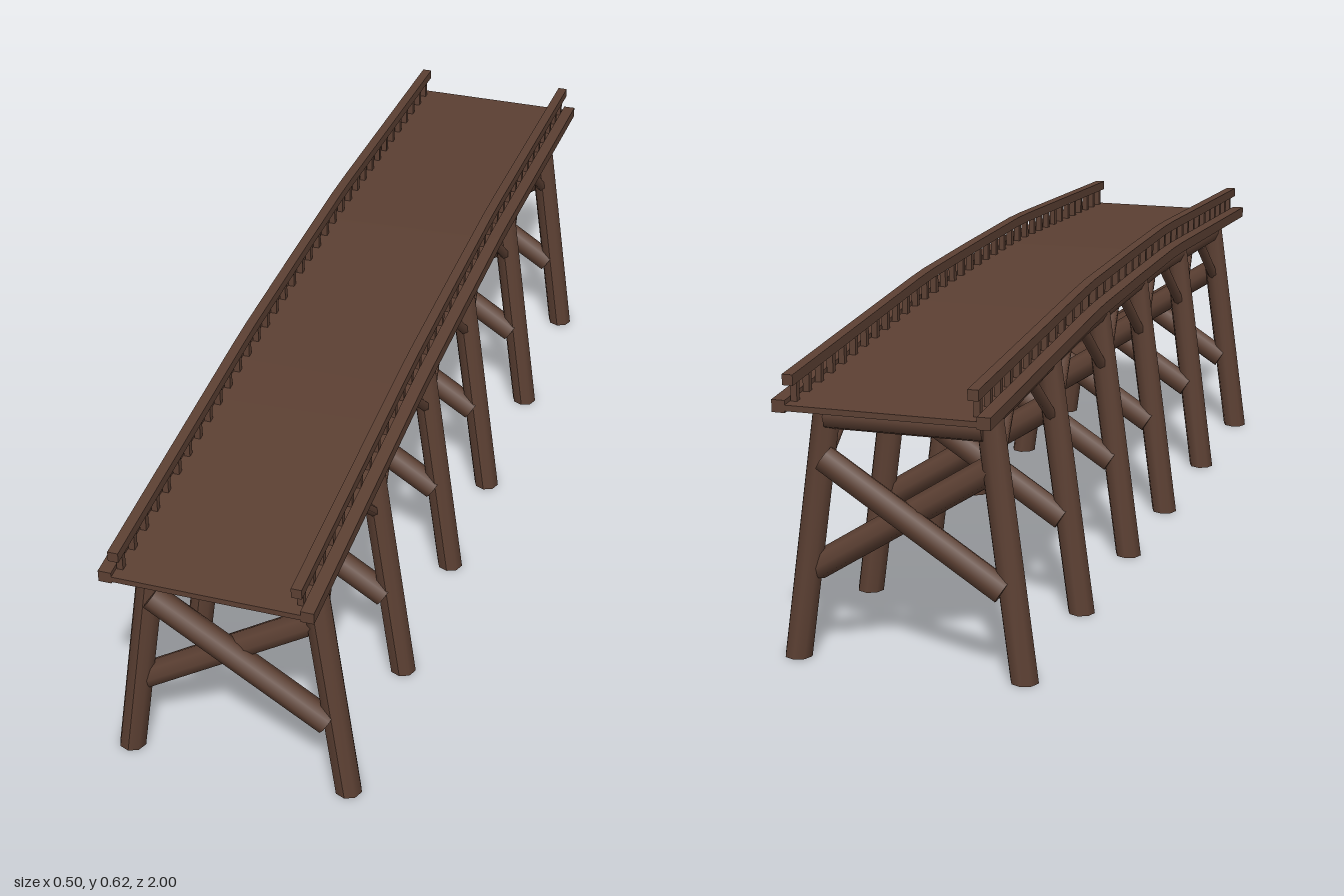
import * as THREE from 'three';

const wood = new THREE.MeshStandardMaterial({ color: 0x5c4033 });
wood.name = 'dark brown wood';

// Deck height along the bridge: sloping ends and a level middle
const PROFILE = [[0, 0.562], [0.28, 0.561], [0.36, 0.558], [0.45, 0.553], [1, 0.522]];
function deckY(z) {
  const a = Math.min(Math.abs(z), 1);
  let i = 1;
  while (i < PROFILE.length - 1 && a > PROFILE[i][0]) i++;
  const [z0, y0] = PROFILE[i - 1], [z1, y1] = PROFILE[i];
  return y0 + (y1 - y0) * (a - z0) / (z1 - z0);
}

function add(parent, name, geometry) {
  const mesh = new THREE.Mesh(geometry, wood);
  mesh.name = name;
  parent.add(mesh);
  return mesh;
}

// Moves a geometry that runs along z up to follow the deck
function followDeck(geometry) {
  const p = geometry.attributes.position;
  for (let i = 0; i < p.count; i++) p.setY(i, p.getY(i) + deckY(p.getZ(i)));
  geometry.computeVertexNormals();
  return geometry;
}

// Rectangular strip along the deck, with y measured from the deck surface
function strip(width, height, x, y) {
  return followDeck(new THREE.BoxGeometry(width, height, 2, 1, 1, 50).translate(x, y, 0));
}

// Round log between two points
function log(parent, name, from, to, r0, r1 = r0, sides = 8) {
  const a = new THREE.Vector3(...from), b = new THREE.Vector3(...to);
  const dir = b.clone().sub(a);
  const mesh = add(parent, name, new THREE.CylinderGeometry(r1, r0, dir.length(), sides));
  mesh.position.copy(a).add(b).multiplyScalar(0.5);
  mesh.quaternion.setFromUnitVectors(new THREE.Vector3(0, 1, 0), dir.normalize());
  return mesh;
}

// Splayed leg with level ends
function leg(parent, s, z, topY) {
  const geo = new THREE.CylinderGeometry(0.027, 0.027, topY, 8).translate(0, topY / 2, 0);
  const p = geo.attributes.position;
  const lean = Math.abs(z) > 0.8 ? -0.02 * Math.sign(z) : 0;
  for (let i = 0; i < p.count; i++) {
    const y = p.getY(i);
    p.setX(i, p.getX(i) + s * (0.221 - 0.136 * y));
    p.setZ(i, p.getZ(i) + z + lean * y);
  }
  geo.computeVertexNormals();
  add(parent, 'leg', geo);
}

function trestle(z) {
  const g = new THREE.Group();
  g.name = 'trestle';
  const rise = deckY(z) - deckY(0.875);
  for (const s of [-1, 1]) {
    leg(g, s, z, deckY(z) - 0.012);
    // Diagonal cross braces
    log(g, 'crossBrace', [-0.155 * s, 0.393 + rise, z + 0.012 * s],
      [0.185 * s, 0.174 + rise, z + 0.012 * s], 0.026);
    // Knee braces from the legs up to the side beams
    for (const d of [-1, 1]) {
      if (Math.abs(z) > 0.8 && d === Math.sign(z)) continue;
      log(g, 'kneeBrace', [0.165 * s, 0.375 + rise, z + 0.012 * d],
        [0.153 * s, 0.478 + rise, z + 0.12 * d], 0.011, 0.011, 6);
    }
  }
  log(g, 'crossBeam', [-0.15, 0.475 + rise, z], [0.15, 0.475 + rise, z], 0.029);
  return g;
}

export function createModel() {
  const bridge = new THREE.Group();
  bridge.name = 'woodenBridge';

  add(bridge, 'deck', strip(0.38, 0.011, 0, -0.0055));

  for (const z of [-0.872, -0.505, -0.153, 0.153, 0.508, 0.872]) bridge.add(trestle(z));

  for (const s of [-1, 1]) {
    const side = new THREE.Group();
    side.name = s > 0 ? 'leftSide' : 'rightSide';
    bridge.add(side);

    // Round beam carrying the deck
    const beam = new THREE.CylinderGeometry(0.026, 0.026, 1.75, 8, 50);
    beam.rotateX(Math.PI / 2).translate(s * 0.15, -0.037, 0);
    add(side, 'sideBeam', followDeck(beam));

    // Edge beam and handrail
    add(side, 'edgeBeam', strip(0.025, 0.023, s * 0.19, -0.003));
    add(side, 'handrail', strip(0.02, 0.02, s * 0.171, 0.046));

    // Short railing posts
    const count = 36;
    for (let i = 0; i < count; i++) {
      const z = -0.97 + 1.94 * i / (count - 1);
      const post = add(side, 'railPost', new THREE.BoxGeometry(0.012, 0.042, 0.013));
      post.position.set(s * 0.17, deckY(z) + 0.018, z);
    }
  }
  return bridge;
}
